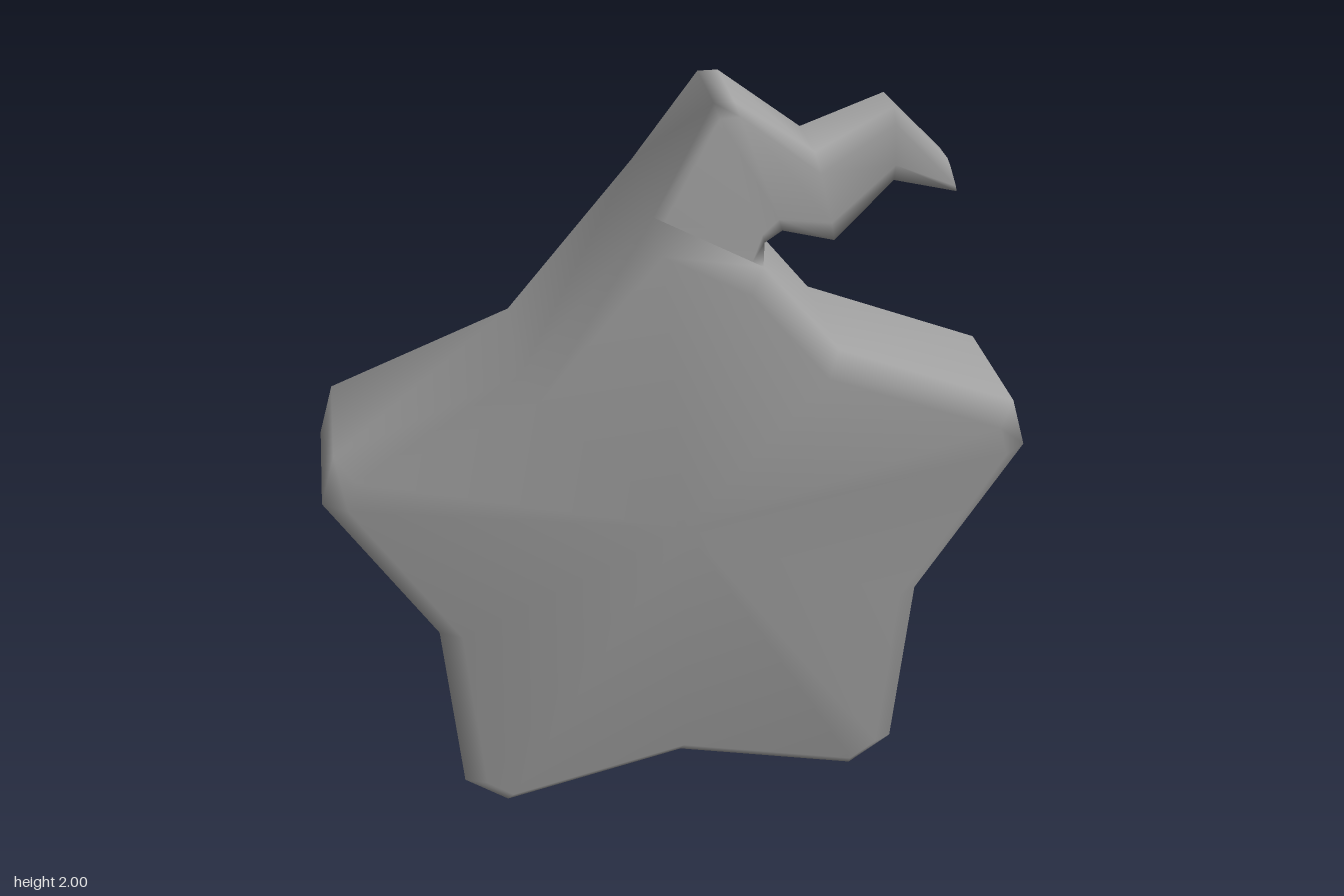
import * as THREE from 'three';
import { mergeGeometries, mergeVertices } from 'three/addons/utils/BufferGeometryUtils.js';

const HALF = 0.24, BEVEL = 0.06;

// Skin a list of rings; options close either end with a fan and leave out one quad.
function loft(rings, { start = null, end = null, skip = () => false } = {}) {
  const n = rings[0].length, pos = rings.flat(2), index = [];
  for (let r = 0; r < rings.length - 1; r++) {
    for (let j = 0; j < n; j++) {
      if (skip(r, j)) continue;
      const k = (j + 1) % n;
      const a = r * n + j, b = r * n + k, c = a + n, d = b + n;
      index.push(a, c, b, b, c, d);
    }
  }
  const fan = (centre, first, flip) => {
    const m = pos.length / 3;
    pos.push(...centre);
    for (let j = 0; j < n; j++) {
      const a = first + j, b = first + (j + 1) % n;
      index.push(m, flip ? b : a, flip ? a : b);
    }
  };
  if (start) fan(start, 0, false);
  if (end) fan(end, (rings.length - 1) * n, true);
  const g = new THREE.BufferGeometry();
  g.setAttribute('position', new THREE.Float32BufferAttribute(pos, 3));
  g.setIndex(index);
  return g;
}

// Move each corner of a counter-clockwise outline inwards by a mitred distance.
function inset(points, dist) {
  const n = points.length;
  const normal = (p, q) => new THREE.Vector2(p[1] - q[1], q[0] - p[0]).normalize();
  return points.map((p, i) => {
    const a = normal(points[(i + n - 1) % n], p);
    const b = normal(p, points[(i + 1) % n]);
    const s = dist / (1 + a.dot(b));
    return [p[0] + (a.x + b.x) * s, p[1] + (a.y + b.y) * s];
  });
}

// Octagonal cross-section of the curl between an upper and a lower point.
function section([T, B, flatT, wideT, wideB, flatB, t0, t1]) {
  const at = (t, z) => [T[0] + (B[0] - T[0]) * t, T[1] + (B[1] - T[1]) * t, z];
  return [
    at(0, flatT), at(0, -flatT), at(t0, -wideT), at(t1, -wideB),
    at(1, -flatB), at(1, flatB), at(t1, wideB), at(t0, wideT),
  ];
}

export function createModel() {
  const grey = new THREE.MeshStandardMaterial({ color: 0xa0a0a0 });
  grey.name = 'grey';

  // Star outline: right half from the bottom notch upwards, then mirrored
  const right = [[0.49, 0.005], [0.605, 0.09], [0.645, 0.6], [0.912, 1.03], [0.872, 1.165], [0.4, 1.355]];
  const left = right.map(([x, y]) => [-x, y]).reverse();
  const outline = [[0, 0.12], ...right, [0.2, 1.6], [-0.07, 1.75], ...left];
  const inner = inset(outline, BEVEL);
  const ring = (pts, z) => pts.map(([x, y]) => [x, y, z]);
  const rim = HALF - BEVEL;

  // Puffy star with bevelled rims, open where the curl grows out of it
  const star = loft(
    [ring(inner, HALF), ring(outline, rim), ring(outline, -rim), ring(inner, -HALF)],
    { start: [0, 0.9, HALF], end: [0, 0.9, -HALF], skip: (r, j) => r === 1 && j === 7 },
  );

  // Curl: upper point, lower point, half widths from top to bottom, shoulder positions
  const curl = loft([
    [[-0.07, 1.75], [0.2, 1.6], rim, rim, rim, rim, 0.1, 0.9],
    [[0.085, 2.0], [0.21, 1.645], 0.11, 0.142, 0.172, 0.14, 0.08, 0.9],
    [[0.135, 2.0], [0.26, 1.66], 0.11, 0.14, 0.155, 0.11, 0.08, 0.85],
    [[0.34, 1.85], [0.4, 1.61], 0.085, 0.108, 0.108, 0.08, 0.2, 0.75],
    [[0.54, 1.94], [0.55, 1.75], 0.05, 0.07, 0.075, 0.055, 0.2, 0.75],
    [[0.69, 1.79], [0.72, 1.7], 0.036, 0.046, 0.046, 0.036, 0.2, 0.8],
  ].map(section), { end: [0.705, 1.745, 0] });

  // One continuous smooth skin
  const skin = mergeVertices(mergeGeometries([star, curl]), 1e-4);
  skin.computeVertexNormals();
  const body = new THREE.Mesh(skin, grey);
  body.name = 'starBodyWithCurl';

  const model = new THREE.Group();
  model.name = 'curledStar';
  model.add(body);
  return model;
}
